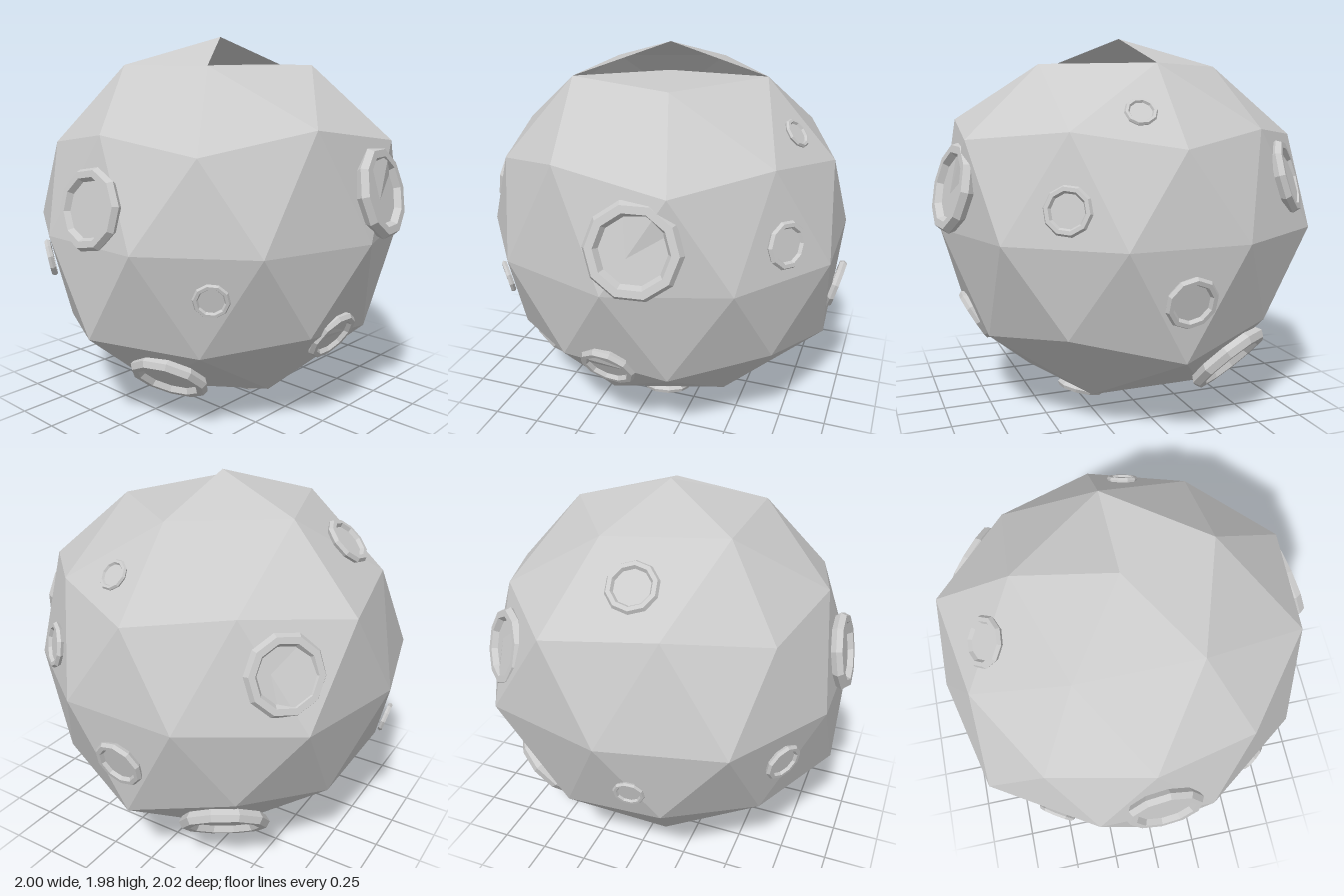
import * as THREE from 'three';

const RADIUS = 0.99;
const material = new THREE.MeshStandardMaterial({ color: 0xcccccc, flatShading: true, side: THREE.DoubleSide });

// Corners pushed outwards: azimuth in degrees (from +x towards +z), height, factor
const BUMPS = [
  [72, 0.447, 1.07], [-72, 0.447, 1.07], [108, 0.526, 1.07],
  [180, -0.447, 1.07], [0, -0.526, 1.07], [-54, 0, 1.05], [-126, 0, 1.05],
].map(([deg, y, factor]) => {
  const a = THREE.MathUtils.degToRad(deg), r = Math.sqrt(1 - y * y);
  return { corner: new THREE.Vector3(r * Math.cos(a), y, r * Math.sin(a)), factor };
});

// Craters: centre x, y, z relative to the body, outer rim radius
const CRATERS = [
  [0.15, 0.23, 0.94, 0.235], [-0.05, -0.49, 0.81, 0.15], [-0.71, -0.20, 0.60, 0.09],
  [-0.62, -0.71, 0.22, 0.21], [0.07, -0.93, 0.25, 0.135], [0.71, 0.61, 0.16, 0.08],
  [0.76, 0.175, 0.53, 0.12], [-0.94, 0.18, 0.03, 0.205], [0.945, -0.25, 0, 0.135],
  [0.60, -0.67, -0.385, 0.235], [0.60, 0.27, -0.70, 0.20], [-0.08, 0.70, -0.67, 0.13],
  [-0.15, -0.25, -0.93, 0.08], [-0.79, -0.18, -0.52, 0.105],
];

// Faceted ball standing on one corner, with a few raised corners and a dent on top
function bodyGeometry() {
  const geometry = new THREE.IcosahedronGeometry(1, 1);
  geometry.rotateX(-Math.atan2((1 + Math.sqrt(5)) / 2, 1));
  geometry.rotateY(Math.PI / 2);
  const pos = geometry.attributes.position;
  const v = new THREE.Vector3();
  for (let f = 0; f < pos.count; f += 3) {
    const middleZ = (pos.getZ(f) + pos.getZ(f + 1) + pos.getZ(f + 2)) / 3;
    for (let i = f; i < f + 3; i++) {
      v.fromBufferAttribute(pos, i);
      const bump = BUMPS.find((b) => b.corner.distanceTo(v) < 0.05);
      if (bump) v.multiplyScalar(bump.factor);
      // The two front facets at the summit are sunk flat
      if (v.y > 0.99 && middleZ > 0.1) v.y = 0.85;
      pos.setXYZ(i, v.x * RADIUS, v.y * RADIUS, v.z * RADIUS);
    }
  }
  geometry.computeVertexNormals();
  return geometry;
}

// Raised rim around a flat floor, facing outwards
function makeCrater(x, y, z, outer) {
  const crater = new THREE.Group();
  crater.name = 'crater';
  const tube = outer * 0.16;
  const rim = new THREE.Mesh(new THREE.TorusGeometry(outer - tube, tube, 6, 10), material);
  rim.name = 'craterRim';
  const floor = new THREE.Mesh(new THREE.CircleGeometry(outer - tube, 10), material);
  floor.name = 'craterFloor';
  crater.add(rim, floor);
  crater.position.set(x, y, z);
  crater.quaternion.setFromUnitVectors(new THREE.Vector3(0, 0, 1), crater.position.clone().normalize());
  return crater;
}

export function createModel() {
  const model = new THREE.Group();
  model.name = 'asteroid';
  const body = new THREE.Mesh(bodyGeometry(), material);
  body.name = 'body';
  model.add(body);
  for (const c of CRATERS) model.add(makeCrater(...c));
  model.position.set(0.02, 1, 0);

  const root = new THREE.Group();
  root.add(model);
  return root;
}
